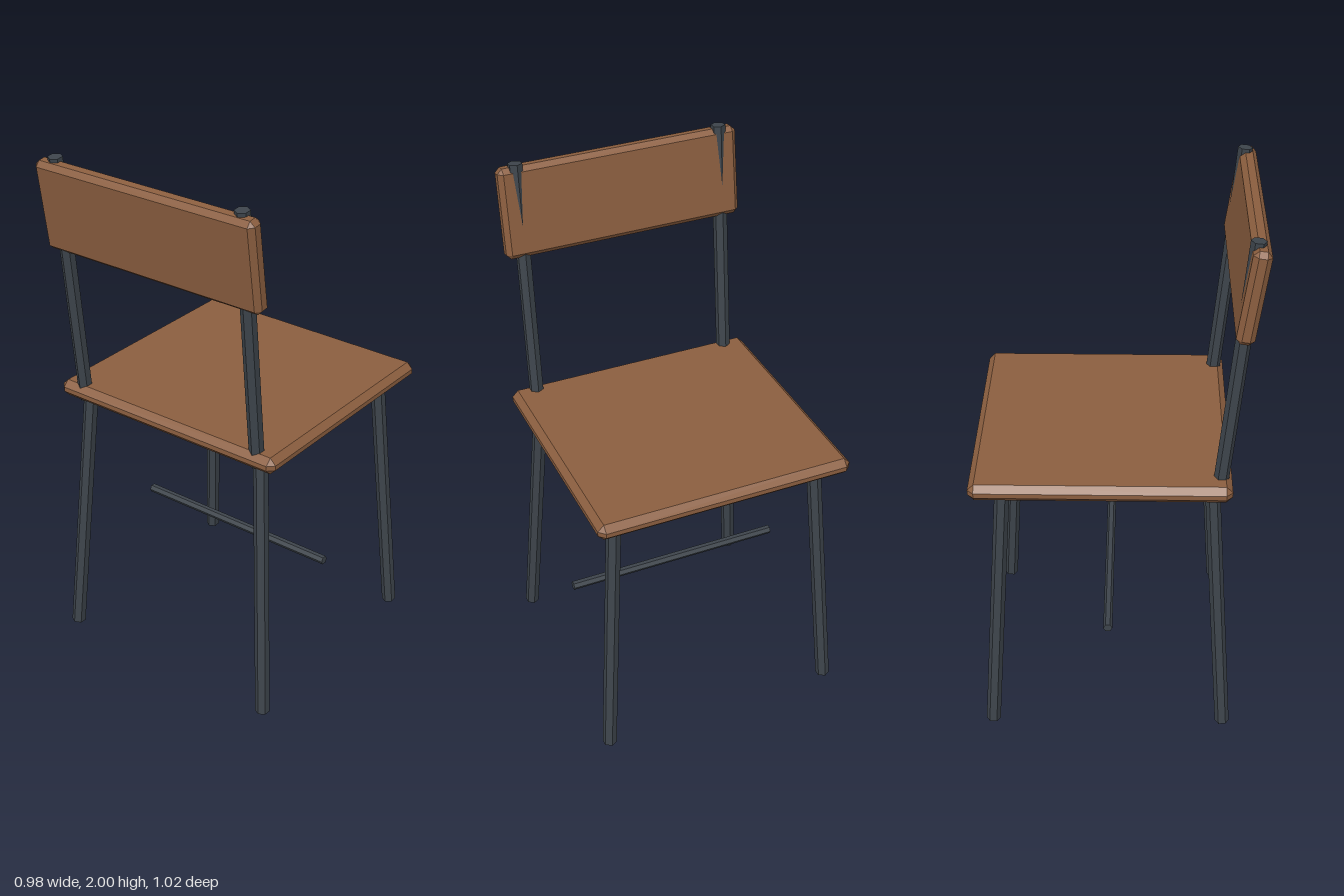
import * as THREE from 'three';
import { ConvexGeometry } from 'three/addons/geometries/ConvexGeometry.js';

const wood = new THREE.MeshStandardMaterial({ color: 0x8b5e3f, flatShading: true });
wood.name = 'brown wood';
const metal = new THREE.MeshStandardMaterial({ color: 0x3d444b, flatShading: true });
metal.name = 'dark metal';

// Box with every edge cut by a single chamfer of size c
function chamferBox(w, h, d, c) {
  const points = [];
  for (const x of [-w / 2, w / 2])
    for (const y of [-h / 2, h / 2])
      for (const z of [-d / 2, d / 2]) {
        const cx = x - Math.sign(x) * c, cy = y - Math.sign(y) * c, cz = z - Math.sign(z) * c;
        points.push(
          new THREE.Vector3(x, cy, cz),
          new THREE.Vector3(cx, y, cz),
          new THREE.Vector3(cx, cy, z)
        );
      }
  return new ConvexGeometry(points);
}

// Six-sided rod between two points
function rod(name, from, to, radius) {
  const a = new THREE.Vector3(...from), b = new THREE.Vector3(...to);
  const axis = b.clone().sub(a);
  const mesh = new THREE.Mesh(new THREE.CylinderGeometry(radius, radius, axis.length(), 6), metal);
  mesh.name = name;
  mesh.position.copy(a).add(b).multiplyScalar(0.5);
  mesh.quaternion.setFromUnitVectors(new THREE.Vector3(0, 1, 0), axis.normalize());
  return mesh;
}

export function createModel() {
  const chair = new THREE.Group();
  chair.name = 'chair';

  // Seat board
  const seat = new THREE.Mesh(chamferBox(0.975, 0.064, 0.928, 0.023), wood);
  seat.name = 'seat';
  seat.position.set(0, 1.061, -0.045);
  chair.add(seat);

  // Leaning backrest panel
  const backrest = new THREE.Mesh(chamferBox(0.926, 0.34, 0.064, 0.018), wood);
  backrest.name = 'backrest';
  backrest.position.set(0, 1.815, 0.456);
  backrest.rotation.x = 0.138;
  chair.add(backrest);

  // Mirrored splayed legs and backrest posts
  for (const [side, s] of [['left', 1], ['right', -1]]) {
    chair.add(
      rod(side + 'LegBackrestEnd', [s * 0.461, 0.002, 0.419], [s * 0.392, 1.04, 0.351], 0.027),
      rod(side + 'LegOpenEnd', [s * 0.461, 0.002, -0.461], [s * 0.392, 1.04, -0.393], 0.027),
      rod(side + 'BackrestPost', [s * 0.395, 1.03, 0.375], [s * 0.395, 1.998, 0.466], 0.027)
    );
  }

  // Cross rung between the two sides
  chair.add(rod('crossRung', [-0.425, 0.423, -0.02], [0.425, 0.423, -0.02], 0.017));

  return chair;
}
